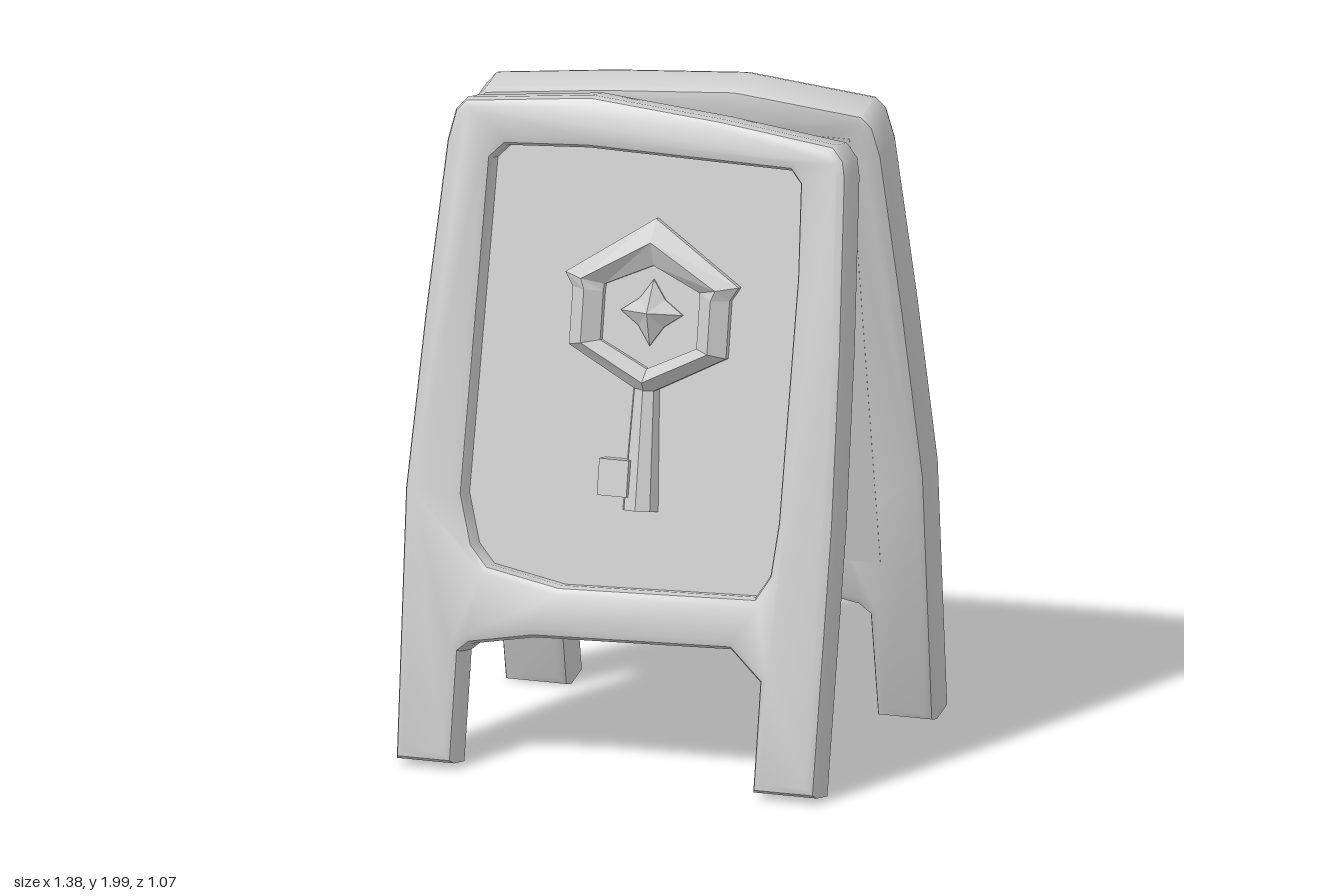
import * as THREE from 'three';
import { toCreasedNormals } from 'three/addons/utils/BufferGeometryUtils.js';

const TILT = 0.2;
const grey = new THREE.MeshStandardMaterial({ color: 0xcccccc });
grey.name = 'plain grey';

const toShape = (pts) => new THREE.Shape(pts.map(([x, y]) => new THREE.Vector2(x, y)));

function addMesh(parent, name, geometry) {
  const mesh = new THREE.Mesh(geometry, grey);
  mesh.name = name;
  parent.add(mesh);
  return mesh;
}

// Joins equal-length counter-clockwise loops [x, y, z] with flat quads
function loft(loops) {
  const pos = [];
  for (let k = 0; k + 1 < loops.length; k++) {
    const a = loops[k], b = loops[k + 1], n = a.length;
    for (let i = 0; i < n; i++) {
      const j = (i + 1) % n;
      pos.push(...a[i], ...a[j], ...b[j], ...a[i], ...b[j], ...b[i]);
    }
  }
  const g = new THREE.BufferGeometry();
  g.setAttribute('position', new THREE.Float32BufferAttribute(pos, 3));
  g.computeVertexNormals();
  return g;
}

// Uneven outline: feet, sagging sides, crooked top
const OUTLINE = [
  [-0.665, 0.03], [-0.49, 0.03], [-0.49, 0.35], [-0.46, 0.375], [-0.27, 0.41],
  [0.33, 0.43], [0.425, 0.345], [0.425, 0.03], [0.62, 0.03], [0.625, 0.8],
  [0.615, 1.3], [0.595, 1.8], [0.585, 1.85], [0.55, 1.89], [0.2, 1.932], [-0.2, 1.965],
  [-0.58, 1.925], [-0.612, 1.89], [-0.632, 1.8], [-0.665, 1.3], [-0.69, 0.8],
];
const OPENING = [
  [-0.49, 1.76], [-0.45, 1.8], [-0.2, 1.815], [0.42, 1.805], [0.45, 1.77], [0.46, 1.5],
  [0.45, 0.8], [0.435, 0.65], [0.395, 0.585], [-0.2, 0.565], [-0.42, 0.605],
  [-0.47, 0.66], [-0.51, 0.8],
];

function frameGeometry() {
  const shape = toShape(OUTLINE);
  shape.holes.push(toShape(OPENING));
  const bevel = 0.028;
  const g = new THREE.ExtrudeGeometry(shape, {
    depth: 0.15 - 2 * bevel, bevelThickness: bevel, bevelSize: bevel,
    bevelOffset: -bevel, bevelSegments: 2,
  });
  g.translate(0, 0, bevel - 0.075);
  return toCreasedNormals(g, 0.75);
}

// Raised key emblem; side = -1 puts the bit on the other side
function createKey(side) {
  const key = new THREE.Group();
  key.name = 'keyEmblem';
  const cx = 0.01 * side, cy = 1.36;
  const at = (pts, z) => pts.map(([x, y]) => [cx + x, cy + y, z]);

  // Six-sided bow with a ridge and small eaves
  const outer = [[0, 0.27], [-0.265, 0.095], [-0.24, 0.055], [-0.24, -0.11],
    [0, -0.235], [0.24, -0.11], [0.24, 0.055], [0.265, 0.095]];
  const inner = [[0, 0.135], [-0.145, 0.07], [-0.147, 0.05], [-0.147, -0.09],
    [0, -0.16], [0.147, -0.09], [0.147, 0.05], [0.145, 0.07]];
  const ridge = outer.map(([x, y], i) => [
    x + (inner[i][0] - x) * 0.5, y + (inner[i][1] - y) * 0.5,
  ]);
  addMesh(key, 'keyBow', loft([
    at(outer, 0), at(outer, 0.028), at(ridge, 0.065), at(inner, 0.025), at(inner, 0),
  ]));

  // Four-pointed gem
  const star = Array.from({ length: 8 }, (_, i) => {
    const r = i % 2 ? 0.055 : 0.095, t = i * Math.PI / 4;
    return [r * Math.cos(t), r * Math.sin(t)];
  });
  addMesh(key, 'keyGem', loft([
    at(star, 0), at(star, 0.012), at(star.map(() => [0, 0]), 0.06),
  ]));

  // Flaring shaft and bit
  const shaft = addMesh(key, 'keyShaft',
    toCreasedNormals(new THREE.CylinderGeometry(0.04, 0.056, 0.38, 8), 0.6));
  shaft.position.set(cx, 0.985, 0);
  shaft.rotation.z = 0.015 * side;
  const bit = addMesh(key, 'keyBit', new THREE.BoxGeometry(0.09, 0.105, 0.07));
  bit.position.set(-0.06 * side, 0.885, 0.025);
  return key;
}

function createBoard(name, side) {
  const board = new THREE.Group();
  board.name = name;
  addMesh(board, 'frame', frameGeometry());
  // Panel closing the opening, flush with the inner face
  const panel = addMesh(board, 'panel', new THREE.BoxGeometry(1.03, 1.33, 0.081));
  panel.position.set(-0.025, 1.185, -0.0355);
  board.add(createKey(side));
  board.rotation.x = -TILT;
  board.scale.y = 1.02;
  board.position.set(0, -0.01, 0.475);
  return board;
}

export function createModel() {
  const model = new THREE.Group();
  model.name = 'sandwichBoard';
  model.add(createBoard('frontBoard', 1));

  // Back board is the same board turned round and slightly larger
  const back = createBoard('backBoard', -1);
  back.scale.set(1.025, 1.04, 1);
  const turned = new THREE.Group();
  turned.name = 'backSide';
  turned.rotation.y = Math.PI;
  turned.position.x = -0.017;
  turned.add(back);
  model.add(turned);
  return model;
}
